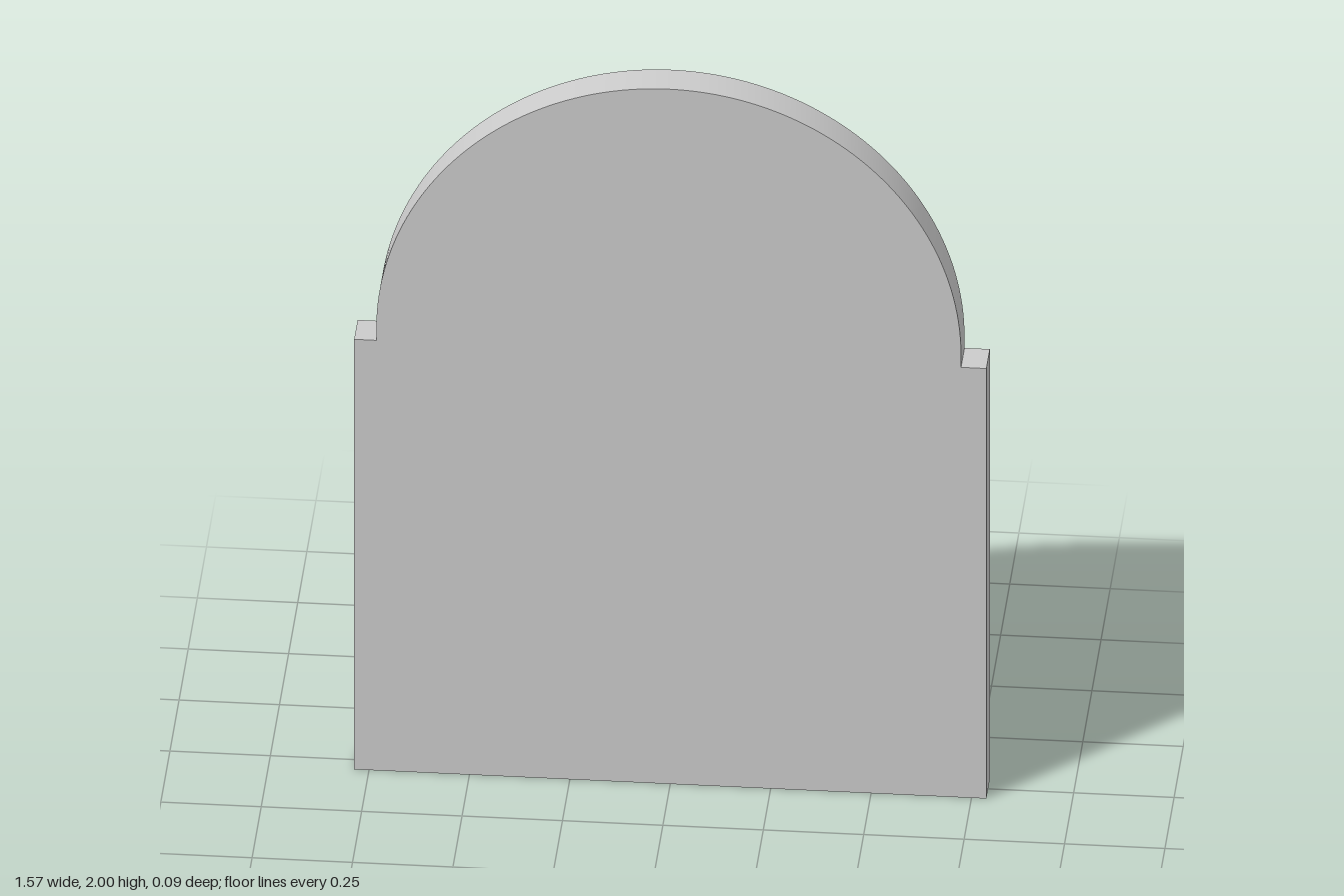
import * as THREE from 'three';
import { toCreasedNormals } from 'three/addons/utils/BufferGeometryUtils.js';

export function createModel() {
  const group = new THREE.Group();
  group.name = 'archedPanel';

  const halfWidth = 0.787, shoulderY = 1.238, depth = 0.095;
  const radius = 0.728, archX = -0.004, springY = 2 - radius;

  // Outline: rectangular base, small shoulders, then a round arch
  const outline = new THREE.Shape();
  outline.moveTo(-halfWidth, 0);
  outline.lineTo(halfWidth, 0);
  outline.lineTo(halfWidth, shoulderY);
  outline.lineTo(archX + radius, shoulderY);
  outline.lineTo(archX + radius, springY);
  outline.absarc(archX, springY, radius, 0, Math.PI, false);
  outline.lineTo(archX - radius, shoulderY);
  outline.lineTo(-halfWidth, shoulderY);
  outline.closePath();

  // Thin slab, smooth round the arch and sharp at the corners
  const slab = new THREE.ExtrudeGeometry(outline, { depth, bevelEnabled: false, curveSegments: 48 });
  slab.translate(0, 0, -depth / 2);

  const panel = new THREE.Mesh(
    toCreasedNormals(slab, Math.PI / 6),
    new THREE.MeshStandardMaterial({ color: 0xcccccc })
  );
  panel.name = 'panel';
  group.add(panel);
  return group;
}
